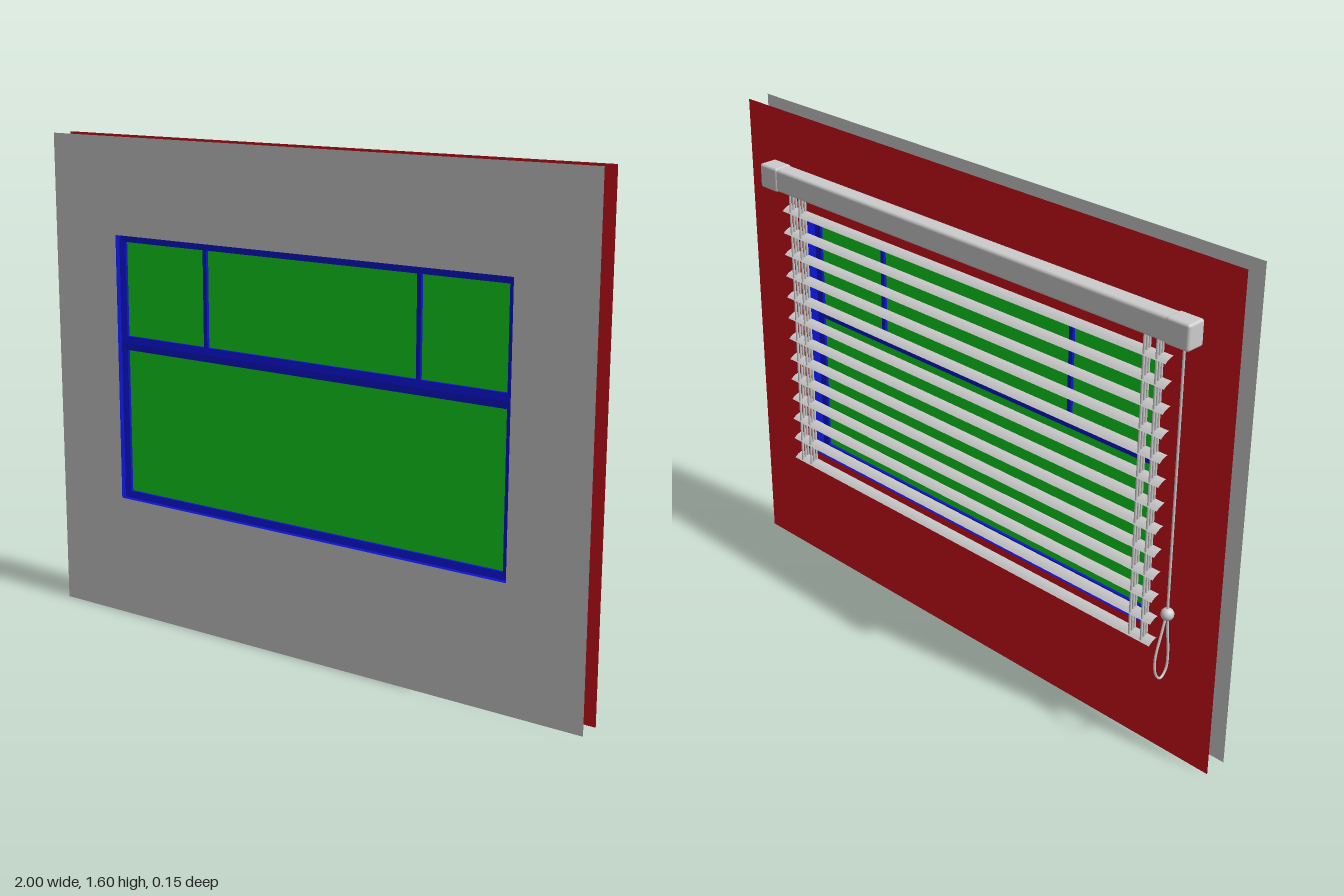
import * as THREE from 'three';
import { RoundedBoxGeometry } from 'three/addons/geometries/RoundedBoxGeometry.js';

const material = (color, open = true) =>
  new THREE.MeshStandardMaterial({ color, side: open ? THREE.DoubleSide : THREE.FrontSide });
const GREY = material(0xcccccc), SOLID = material(0xcccccc, false);
const RED = material(0xd0101c), BLUE = material(0x0c14cf), GREEN = material(0x12d320);

// window opening: half width, bottom, transom and top heights; wall planes
const W = 0.738, Y0 = 0.402, YT = 0.928, Y1 = 1.284, FRONT = 0.077;
const INSET = 0.023, GROOVE = [0.035, 0.059], GLASS_Z = 0.047;

function add(parent, name, geometry, mat, x = 0, y = 0, z = 0) {
  const mesh = new THREE.Mesh(geometry, mat);
  mesh.name = name;
  mesh.position.set(x, y, z);
  parent.add(mesh);
  return mesh;
}

// sheet profile of [inset, z] points swept round a rectangle with mitred corners
function mitredRing(x0, x1, y0, y1, profile) {
  const corners = ([i, z]) => [[x0 + i, y0 + i, z], [x1 - i, y0 + i, z], [x1 - i, y1 - i, z], [x0 + i, y1 - i, z]];
  const pos = [];
  for (let p = 0; p < profile.length - 1; p++) {
    const a = corners(profile[p]), b = corners(profile[p + 1]);
    for (let k = 0; k < 4; k++) {
      const n = (k + 1) % 4;
      pos.push(...a[k], ...b[n], ...a[n], ...a[k], ...b[k], ...b[n]);
    }
  }
  const g = new THREE.BufferGeometry();
  g.setAttribute('position', new THREE.Float32BufferAttribute(pos, 3));
  g.computeVertexNormals();
  return g;
}

// flat wall with the window opening cut out
function wallGeometry() {
  const rect = (path, w, a, b) => path.moveTo(-w, a).lineTo(w, a).lineTo(w, b).lineTo(-w, b).closePath();
  const shape = rect(new THREE.Shape(), 1, 0, 1.6);
  shape.holes.push(rect(new THREE.Path(), W, Y0, Y1));
  return new THREE.ShapeGeometry(shape);
}

function createWindow() {
  const g = new THREE.Group();
  g.name = 'window';
  // reveals on both sides of the glazing groove
  add(g, 'innerReveal', mitredRing(-W, W, Y0, Y1, [[0, 0], [0, GROOVE[0]]]), BLUE);
  add(g, 'outerReveal', mitredRing(-W, W, Y0, Y1, [[0, GROOVE[1]], [0, FRONT]]), BLUE);
  // grooved frames, meeting at the transom
  const channel = [[0, GROOVE[0]], [INSET, GROOVE[0] + 0.003], [INSET, GROOVE[1] - 0.003], [0, GROOVE[1]]];
  for (const [name, a, b] of [['lower', Y0, YT], ['upper', YT, Y1]]) {
    add(g, name + 'Frame', mitredRing(-W, W, a, b, channel), BLUE);
    const h = b - a - 2 * INSET;
    add(g, name + 'Glass', new THREE.PlaneGeometry(2 * (W - INSET), h), GREEN, 0, (a + b) / 2, GLASS_Z);
  }
  // mullions in the upper light
  for (const x of [-0.382, 0.417])
    add(g, 'mullion', new THREE.BoxGeometry(0.014, Y1 - YT - 2 * INSET, 0.02), BLUE, x, (Y1 + YT) / 2, GLASS_Z);
  return g;
}

function createBlind() {
  const g = new THREE.Group();
  g.name = 'venetianBlind';
  // head rail and its end caps
  add(g, 'headRail', new RoundedBoxGeometry(1.62, 0.076, 0.06, 3, 0.01), SOLID, 0, 1.388, -0.033);
  for (const s of [-1, 1])
    add(g, 'railEndCap', new RoundedBoxGeometry(0.083, 0.08, 0.065, 3, 0.009), SOLID, s * 0.838, 1.388, -0.0335);

  // slightly crowned slats, tilted down away from the window
  const slat = new THREE.PlaneGeometry(1.59, 0.036, 1, 4).rotateX(-Math.PI / 2);
  const p = slat.attributes.position;
  for (let i = 0; i < p.count; i++) p.setY(i, 0.003 * (1 - (p.getZ(i) / 0.018) ** 2));
  slat.computeVertexNormals();
  for (let i = 0; i < 13; i++)
    add(g, 'slat', slat, GREY, 0, 0.384 + i * 0.0755, -0.033).rotation.x = -0.42;

  // ladder and lift cords
  const cord = new THREE.CylinderGeometry(0.004, 0.004, 0.97, 8);
  for (const x of [-0.76, -0.715, 0.715, 0.76])
    for (const z of [-0.02, -0.031, -0.043]) add(g, 'ladderCord', cord, SOLID, x, 0.865, z);

  // pull cord with a bead and a hanging loop
  const cx = -0.838, cz = -0.028;
  add(g, 'pullCord', new THREE.CylinderGeometry(0.004, 0.004, 0.85, 8), SOLID, cx, 0.93, cz);
  add(g, 'cordBead', new THREE.SphereGeometry(0.02, 16, 12), SOLID, cx, 0.5, cz);
  const loop = [[0.5, -0.028], [0.435, -0.052], [0.36, -0.0725], [0.305, -0.064], [0.284, -0.042],
    [0.305, -0.019], [0.36, -0.014], [0.435, -0.022]].map(([y, z]) => new THREE.Vector3(cx, y, z));
  add(g, 'cordLoop', new THREE.TubeGeometry(new THREE.CatmullRomCurve3(loop, true), 64, 0.004, 8, true), SOLID);
  return g;
}

export function createModel() {
  const model = new THREE.Group();
  model.name = 'windowWithBlind';
  add(model, 'outerWall', wallGeometry(), GREY, 0, 0, FRONT);
  add(model, 'innerWall', wallGeometry(), RED);
  model.add(createWindow(), createBlind());
  return model;
}
